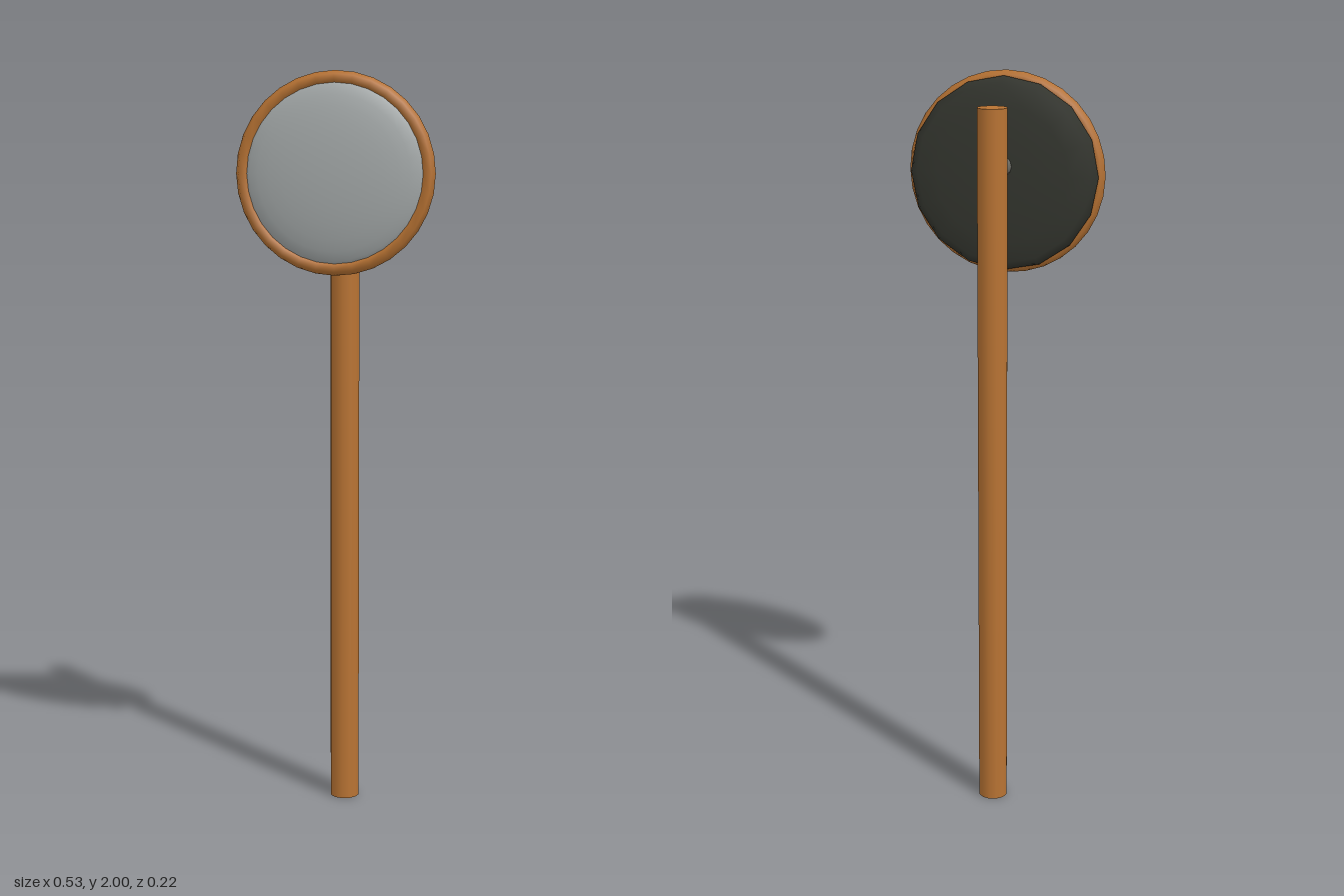
import * as THREE from 'three';

const material = (name, color) => {
  const m = new THREE.MeshStandardMaterial({ color });
  m.name = name;
  return m;
};

export function createModel() {
  const copper = material('copper', 0xb87333);
  const mirrorGrey = material('mirrorGrey', 0xa3a8a8);
  const darkBacking = material('darkBacking', 0x34362f);
  const armGrey = material('armGrey', 0x6b6b64);

  const model = new THREE.Group();
  model.name = 'polarMirror';
  const add = (name, geometry, mat, x, y, z) => {
    const mesh = new THREE.Mesh(geometry, mat);
    mesh.name = name;
    mesh.position.set(x, y, z);
    model.add(mesh);
  };
  model.name = 'mirrorOnPole';

  // Flattened sphere with its poles on the z axis
  const lens = (radius, depth, sides, rings) =>
    new THREE.SphereGeometry(1, sides, rings).rotateX(Math.PI / 2).scale(radius, radius, depth);

  const headY = 1.736;

  // Upright pole
  add('pole', new THREE.CylinderGeometry(0.04, 0.04, 1.92, 12), copper, 0, 0.96, -0.073);

  // Short arm between the pole and the head
  add('arm', new THREE.CylinderGeometry(0.028, 0.028, 0.09, 12).rotateX(Math.PI / 2),
    armGrey, 0, 1.76, -0.02);

  // Round head: backing, rim and domed mirror
  add('backing', lens(0.253, 0.027, 16, 8), darkBacking, 0, headY, 0.037);
  add('rim', new THREE.TorusGeometry(0.246, 0.019, 6, 32), copper, 0, headY, 0.0665);
  add('mirror', lens(0.243, 0.044, 32, 16), mirrorGrey, 0, headY, 0.0665);

  return model;
}
